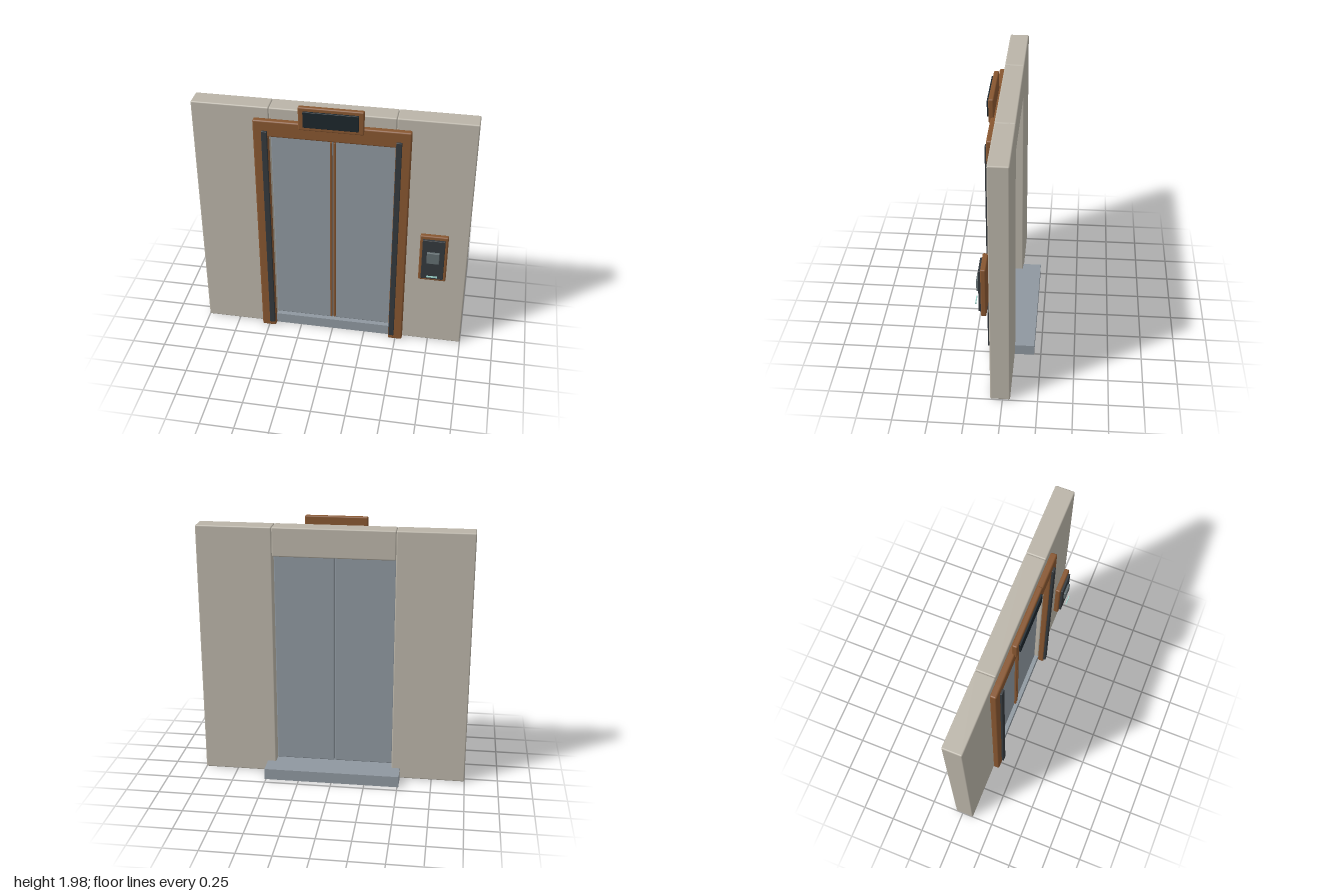
import * as THREE from 'three';
import { RoundedBoxGeometry } from 'three/addons/geometries/RoundedBoxGeometry.js';

const paint = (color) => new THREE.MeshStandardMaterial({ color });

export function createModel() {
  const model = new THREE.Group();
  const stone = paint(0xbab4a8);
  const steel = paint(0x8e979f);
  const bronze = paint(0x875630);
  const dark = paint(0x33383c);
  const glass = paint(0x1c262c);
  const buttonGrey = paint(0x626d70);
  const glow = paint(0x9fd8cf);

  // Box given by its limits on each axis, with softened edges when r > 0
  function block(name, material, [x0, x1], [y0, y1], [z0, z1], r = 0) {
    const size = [x1 - x0, y1 - y0, z1 - z0];
    const geometry = r > 0 ? new RoundedBoxGeometry(...size, 3, r) : new THREE.BoxGeometry(...size);
    const mesh = new THREE.Mesh(geometry, material);
    mesh.name = name;
    mesh.position.set((x0 + x1) / 2, (y0 + y1) / 2, (z0 + z1) / 2);
    model.add(mesh);
    return mesh;
  }

  // The same box on both sides of the doorway
  function pair(name, material, [x0, x1], y, z, r) {
    block('left' + name, material, [x0, x1], y, z, r);
    block('right' + name, material, [-x1, -x0], y, z, r);
  }

  // Wall around the doorway
  const wallZ = [-0.055, 0.087];
  pair('WallPanel', stone, [0.445, 1], [0.003, 1.925], wallZ, 0.01);
  block('wallLintel', stone, [-0.445, 0.445], [1.71, 1.925], wallZ, 0.01);

  // Threshold running out behind the wall
  block('threshold', steel, [-0.51, 0.51], [0, 0.085], [-0.2, 0.085]);

  // Sliding doors and their meeting-edge trims
  pair('Door', steel, [0.001, 0.445], [0.087, 1.715], [0.015, 0.055], 0.008);
  pair('DoorTrim', bronze, [0.006, 0.021], [0.105, 1.68], [0.05, 0.07], 0.003);

  // Bronze surround with dark guide strips
  const frameZ = [0.085, 0.133];
  pair('FrameJamb', bronze, [0.445, 0.553], [0.003, 1.845], frameZ, 0.012);
  block('frameHeader', bronze, [-0.553, 0.553], [1.72, 1.845], frameZ, 0.012);
  pair('GuideStrip', dark, [0.45, 0.49], [0.048, 1.768], [0.125, 0.149], 0.004);

  // Floor display above the doors
  block('displayHousing', bronze, [-0.228, 0.228], [1.803, 1.98], [0.11, 0.147], 0.01);
  block('displayScreen', glass, [-0.193, 0.193], [1.833, 1.953], [0.14, 0.16], 0.004);

  // Call station
  block('callStationFrame', bronze, [0.652, 0.855], [0.635, 1.03], [0.118, 0.156], 0.01);
  block('callStationPlate', dark, [0.672, 0.835], [0.662, 1.003], [0.15, 0.173], 0.004);
  block('callButton', buttonGrey, [0.708, 0.8], [0.81, 0.905], [0.168, 0.19], 0.005);
  block('callIndicator', glow, [0.715, 0.795], [0.695, 0.705], [0.193, 0.2]);

  return model;
}
